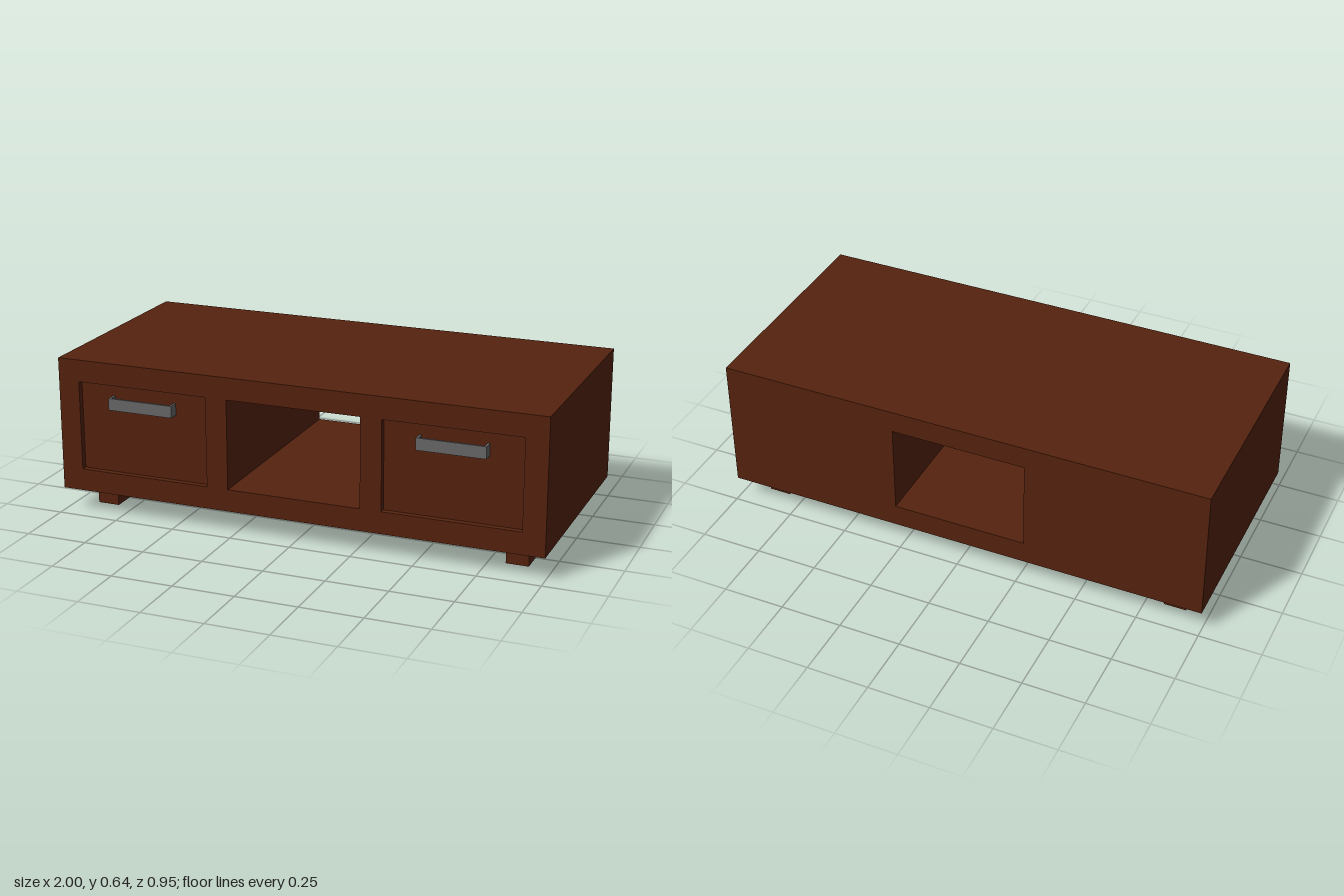
import * as THREE from 'three';

export function createModel() {
  const wood = new THREE.MeshStandardMaterial({ color: 0x54220e });
  wood.name = 'dark brown wood';
  const metal = new THREE.MeshStandardMaterial({ color: 0x666666 });
  metal.name = 'grey metal';

  const model = new THREE.Group();
  model.name = 'lowCabinet';

  const bottom = 0.093, top = 0.637, back = -0.477, front = 0.46;
  const recess = 0.435; // z of the drawer faces
  const openLow = 0.183, openHigh = 0.548, openHalf = 0.274;

  // Box given by its two opposite corners
  function box(parent, name, material, x0, x1, y0, y1, z0, z1) {
    const mesh = new THREE.Mesh(new THREE.BoxGeometry(x1 - x0, y1 - y0, z1 - z0), material);
    mesh.position.set((x0 + x1) / 2, (y0 + y1) / 2, (z0 + z1) / 2);
    mesh.name = name;
    parent.add(mesh);
  }

  function rectangle(path, x0, x1, y0, y1) {
    path.moveTo(x0, y0);
    path.lineTo(x1, y0);
    path.lineTo(x1, y1);
    path.lineTo(x0, y1);
    path.closePath();
    return path;
  }

  // Full-width slab with openings cut through it from front to back
  function slab(name, openings, z0, z1) {
    const shape = rectangle(new THREE.Shape(), -1, 1, bottom, top);
    for (const [x0, x1] of openings) {
      shape.holes.push(rectangle(new THREE.Path(), x0, x1, openLow, openHigh));
    }
    const geometry = new THREE.ExtrudeGeometry(shape, { depth: z1 - z0, bevelEnabled: false });
    const mesh = new THREE.Mesh(geometry, wood);
    mesh.position.z = z0;
    mesh.name = name;
    model.add(mesh);
  }

  // Cabinet with an open middle shelf, and a front frame around the drawers
  const shelf = [-openHalf, openHalf];
  const drawers = [[-0.912, -0.363], [0.36, 0.91]];
  slab('cabinetBody', [shelf], back, recess - 0.005);
  slab('frontFrame', [shelf, ...drawers], recess - 0.005, front);

  // Recessed drawers with thin bracket handles
  drawers.forEach(([x0, x1], i) => {
    const drawer = new THREE.Group();
    drawer.name = i === 0 ? 'rightDrawer' : 'leftDrawer';
    box(drawer, 'drawerFront', wood, x0, x1, openLow, openHigh, recess - 0.005, recess);

    const mid = (x0 + x1) / 2, half = 0.136, t = 0.009, low = 0.452, high = 0.5;
    box(drawer, 'handleGrip', metal, mid - half, mid + half, low, high, 0.477 - t, 0.477);
    box(drawer, 'handleEnd', metal, mid - half, mid - half + t, low, high, recess, 0.477 - t);
    box(drawer, 'handleEnd', metal, mid + half - t, mid + half, low, high, recess, 0.477 - t);
    model.add(drawer);
  });

  // Four short square feet
  for (const x of [-0.866, 0.862]) {
    for (const z of [-0.34, 0.297]) {
      box(model, 'foot', wood, x - 0.045, x + 0.045, 0, bottom, z - 0.045, z + 0.045);
    }
  }

  return model;
}
